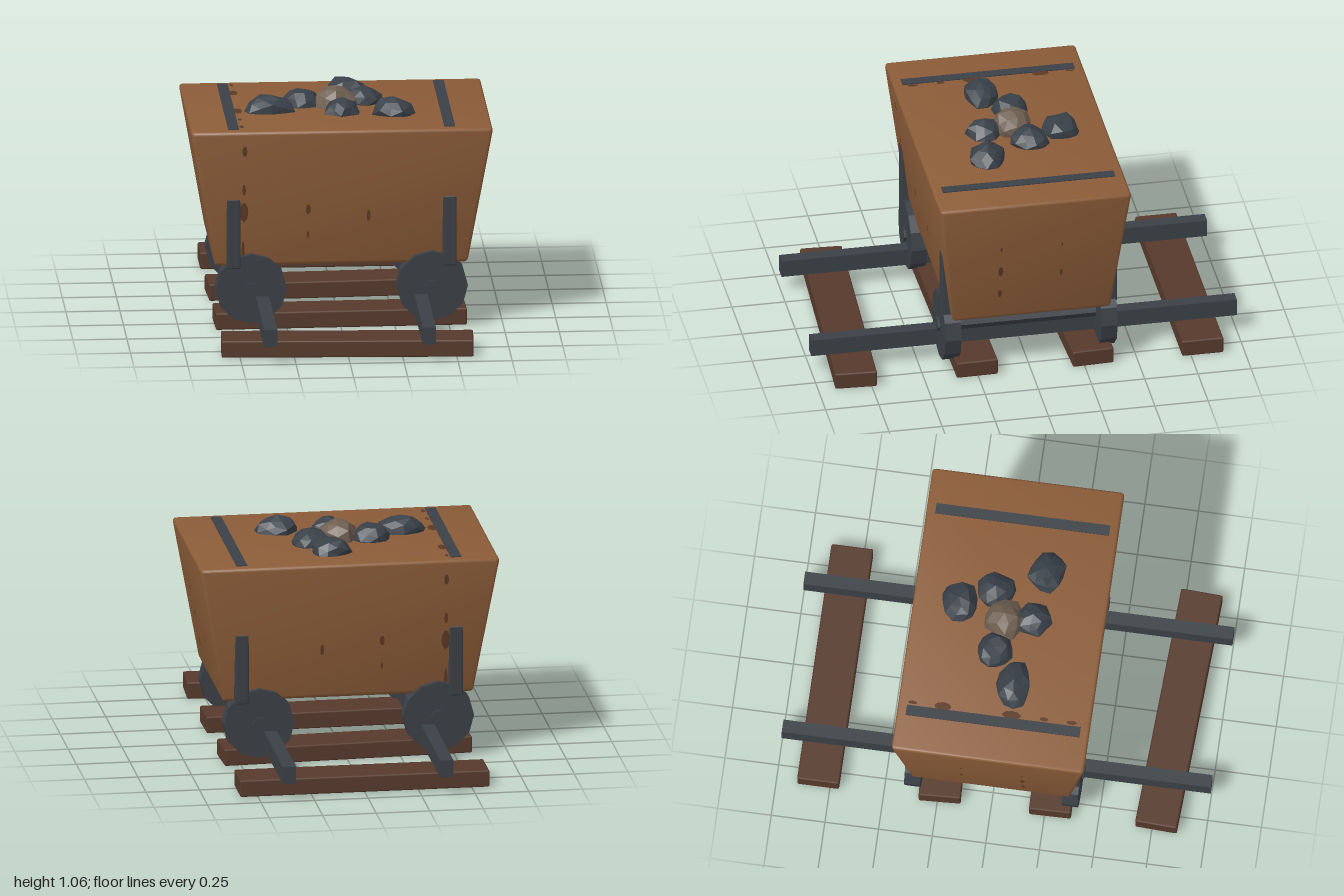
import * as THREE from 'three';
import { RoundedBoxGeometry } from 'three/addons/geometries/RoundedBoxGeometry.js';
import { toCreasedNormals } from 'three/addons/utils/BufferGeometryUtils.js';

const paint = (name, color) => {
  const m = new THREE.MeshStandardMaterial({ color });
  m.name = name;
  return m;
};

// Hopper limits
const TOP = 0.965, BOTTOM = 0.305, HEIGHT = TOP - BOTTOM;
const TOP_X = 0.7, LOW_X = 0.585, TOP_Z = 0.45, LOW_Z = 0.37;

export function createModel() {
  const model = new THREE.Group();
  model.name = 'mineCart';
  const body = paint('rusty orange', 0x8b5c38);
  const iron = paint('dark iron', 0x3a4046);
  const wood = paint('dark wood', 0x56392b);
  const coal = paint('coal', 0x384048);
  const ore = paint('ore', 0x6e5e50);
  const rust = paint('deep rust', 0x5c3a24);
  coal.flatShading = ore.flatShading = true;

  const add = (name, geometry, material, x = 0, y = 0, z = 0, parent = model) => {
    const mesh = new THREE.Mesh(geometry, material);
    mesh.name = name;
    mesh.position.set(x, y, z);
    parent.add(mesh);
    return mesh;
  };

  // Hopper: rounded box narrowed toward the bottom
  const hopper = new RoundedBoxGeometry(TOP_X * 2, HEIGHT, TOP_Z * 2, 2, 0.018);
  const p = hopper.attributes.position;
  for (let i = 0; i < p.count; i++) {
    const t = p.getY(i) / HEIGHT + 0.5;
    p.setX(i, p.getX(i) * THREE.MathUtils.lerp(LOW_X / TOP_X, 1, t));
    p.setZ(i, p.getZ(i) * THREE.MathUtils.lerp(LOW_Z / TOP_Z, 1, t));
  }
  add('hopper', toCreasedNormals(hopper, 0.6), body, 0, (TOP + BOTTOM) / 2, 0);

  // Iron straps on the lid
  for (const s of [-1, 1]) {
    add('lidStrap', new THREE.BoxGeometry(0.05, 0.006, 0.81), iron, s * 0.5, TOP + 0.001, 0);
  }

  // Rust spots: [along, height, half width, half height]
  const disc = new THREE.CircleGeometry(1, 9);
  const longSpots = [
    [-0.45, 0.87, 0.011, 0.026], [-0.452, 0.68, 0.008, 0.028], [-0.452, 0.57, 0.02, 0.048],
    [-0.455, 0.37, 0.008, 0.06], [-0.155, 0.58, 0.012, 0.024], [-0.155, 0.455, 0.005, 0.018],
    [0.125, 0.545, 0.009, 0.028],
  ];
  const endSpots = [
    [-0.155, 0.58, 0.012, 0.028], [-0.155, 0.71, 0.005, 0.012], [-0.155, 0.45, 0.01, 0.022],
    [0.13, 0.71, 0.004, 0.012], [0.13, 0.545, 0.006, 0.02],
  ];
  const wallSpots = (spots, topOut, lowOut, turn, mirror) => {
    const wall = new THREE.Group();
    wall.name = 'wallRust';
    wall.scale.set(...mirror);
    const tilt = Math.atan((topOut - lowOut) / HEIGHT);
    for (const [u, y, w, h] of spots) {
      const out = THREE.MathUtils.lerp(lowOut, topOut, (y - BOTTOM) / HEIGHT) + 0.003;
      const spot = add('rustSpot', disc, rust, turn ? out : u, y, turn ? -u : out, wall);
      spot.rotation.set(tilt, turn, 0, 'YXZ');
      spot.scale.set(w, h, 1);
    }
    model.add(wall);
  };
  for (const s of [-1, 1]) {
    wallSpots(longSpots, TOP_Z, LOW_Z, 0, [1, 1, s]);
    wallSpots(endSpots, TOP_X, LOW_X, Math.PI / 2, [s, 1, 1]);
  }
  for (const [z, w, h] of [[-0.38, 0.008, 0.022], [-0.24, 0.02, 0.04], [0.08, 0.02, 0.045], [0.23, 0.01, 0.02], [0.36, 0.01, 0.025]]) {
    const spot = add('lidRust', disc, rust, -0.46, TOP + 0.003, z);
    spot.rotation.x = -Math.PI / 2;
    spot.scale.set(w, h, 1);
  }

  // Wheels, axles and upright brackets
  const wheel = new THREE.CylinderGeometry(0.165, 0.165, 0.075, 12).rotateX(Math.PI / 2);
  const axle = new THREE.CylinderGeometry(0.034, 0.034, 0.83, 6).rotateY(Math.PI / 6).rotateX(Math.PI / 2);
  const bracket = new RoundedBoxGeometry(0.064, 0.335, 0.08, 1, 0.008);
  const wheelIron = iron.clone();
  wheelIron.name = 'faceted dark iron';
  wheelIron.flatShading = true;
  for (const sx of [-1, 1]) {
    add('axle', axle, wheelIron, sx * 0.417, 0.203, 0);
    for (const sz of [-1, 1]) {
      add('wheel', wheel, wheelIron, sx * 0.419, 0.203, sz * 0.367);
      add('bracket', bracket, iron, sx * 0.5, 0.4675, sz * 0.372);
    }
    add('rail', new THREE.BoxGeometry(0.062, 0.082, 2), iron, sx * 0.367, 0.125, 0);
  }

  // Sleepers, laid slightly askew: [z, turn]
  for (const [z, turn] of [[-0.805, 0], [-0.265, 0.045], [0.265, 0.018], [0.797, -0.047]]) {
    add('sleeper', new RoundedBoxGeometry(1.165, 0.08, 0.195, 1, 0.008), wood, 0, 0.04, z).rotation.y = turn;
  }

  // Lumps: icosahedra with each corner pushed in or out by a repeatable amount
  const lump = (seed) => {
    const g = new THREE.IcosahedronGeometry(1, 1);
    const v = new THREE.Vector3(), q = g.attributes.position;
    for (let i = 0; i < q.count; i++) {
      v.fromBufferAttribute(q, i);
      const key = Math.round(v.x * 50) * 12.99 + Math.round(v.y * 50) * 78.23 + Math.round(v.z * 50) * 37.72;
      const n = Math.abs(Math.sin(key + seed * 5.1) * 43758.5) % 1;
      v.multiplyScalar(0.84 + 0.26 * n);
      q.setXYZ(i, v.x, v.y, v.z);
    }
    g.computeVertexNormals();
    return g;
  };
  // [x, z, half width, half depth, top, turn]
  const lumps = [
    [-0.31, 0.07, 0.118, 0.082, 1.043, 0.1], [-0.16, -0.04, 0.09, 0.088, 1.038, 0.8],
    [0.06, -0.235, 0.102, 0.09, 1.04, 0.3], [0.135, -0.075, 0.098, 0.092, 1.035, 1.2],
    [0.02, 0.115, 0.092, 0.085, 1.035, 2], [0.255, 0.145, 0.1, 0.09, 1.04, -0.2],
    [0, -0.015, 0.1, 0.1, 1.062, 0.5],
  ];
  lumps.forEach(([x, z, w, d, top, turn], i) => {
    const last = i === lumps.length - 1;
    const rock = add(last ? 'oreLump' : 'coalLump', lump(i + 1), last ? ore : coal, x, 0.968, z);
    rock.scale.set(w, top - 0.968, d);
    rock.rotation.y = turn;
  });

  return model;
}
